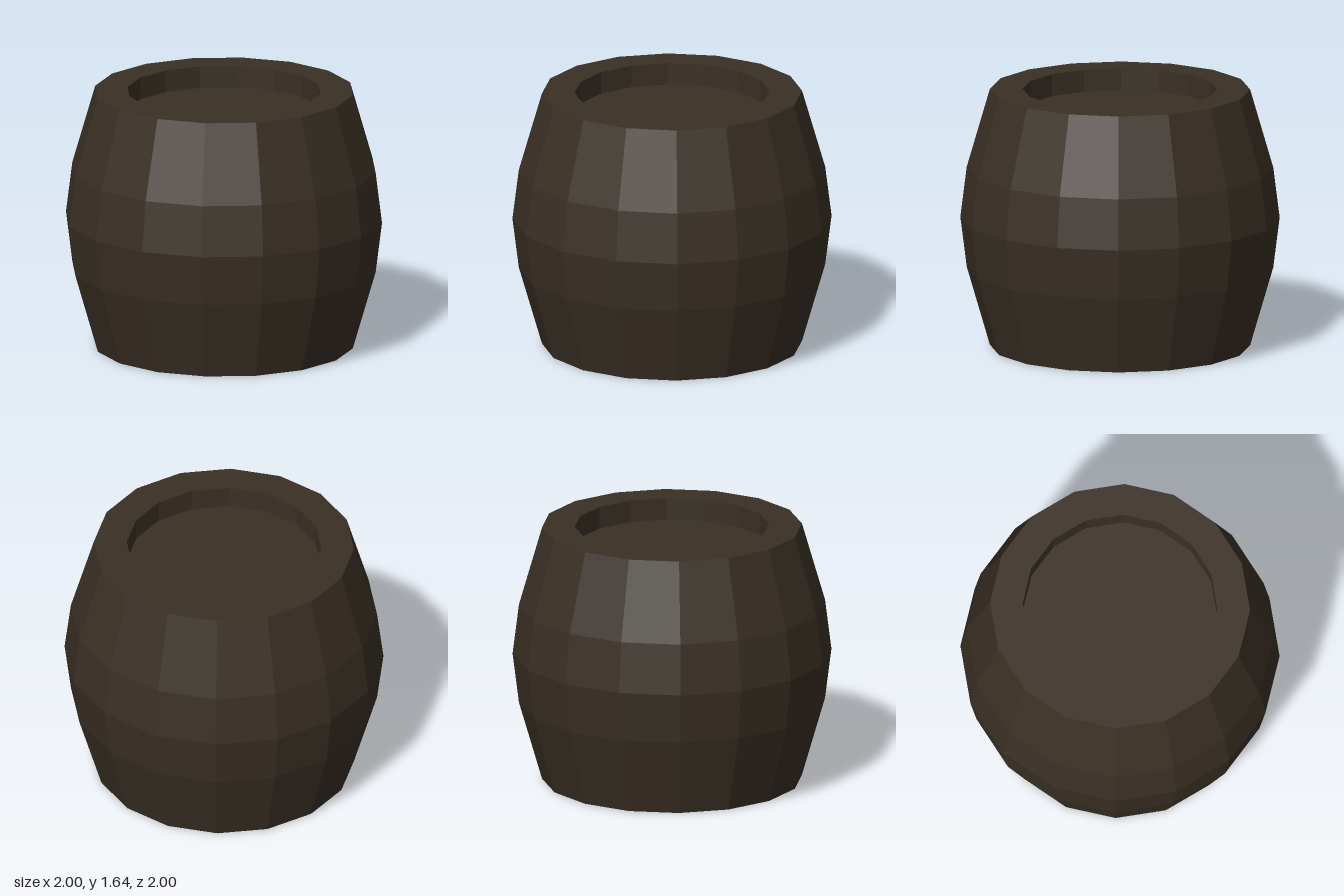
import * as THREE from 'three';

const SIDES = 16;
const HEIGHT = 1.64;
const RIM = 0.815;    // outer radius at both ends
const HEAD = 0.61;    // radius of the recessed heads
const RECESS = 0.14;  // depth of the recesses

export function createModel() {
  const group = new THREE.Group();
  group.name = 'barrel';
  const darkWood = new THREE.MeshStandardMaterial({ color: 0x3a3025 });

  const add = (name, geometry) => {
    const mesh = new THREE.Mesh(geometry, darkWood);
    mesh.name = name;
    group.add(mesh);
    return mesh;
  };

  // Faceted ring swept around the y axis from [radius, height] pairs
  const ring = (profile) => {
    const points = profile.map(([r, y]) => new THREE.Vector2(r, y));
    const geometry = new THREE.LatheGeometry(points, SIDES).toNonIndexed();
    geometry.computeVertexNormals();
    return geometry;
  };

  // Bulging staves
  add('staves', ring([
    [RIM, 0], [0.96, 0.5], [1, HEIGHT / 2], [0.96, HEIGHT - 0.5], [RIM, HEIGHT],
  ]));

  // Flat rim, recess wall and sunken head at each end
  add('topRim', ring([[RIM, HEIGHT], [HEAD, HEIGHT], [HEAD, HEIGHT - RECESS]]));
  add('bottomRim', ring([[HEAD, RECESS], [HEAD, 0], [RIM, 0]]));

  const topHead = add('topHead', new THREE.CircleGeometry(HEAD, SIDES));
  topHead.rotation.x = -Math.PI / 2;
  topHead.position.y = HEIGHT - RECESS;

  const bottomHead = add('bottomHead', new THREE.CircleGeometry(HEAD, SIDES));
  bottomHead.rotation.x = Math.PI / 2;
  bottomHead.position.y = RECESS;

  return group;
}
